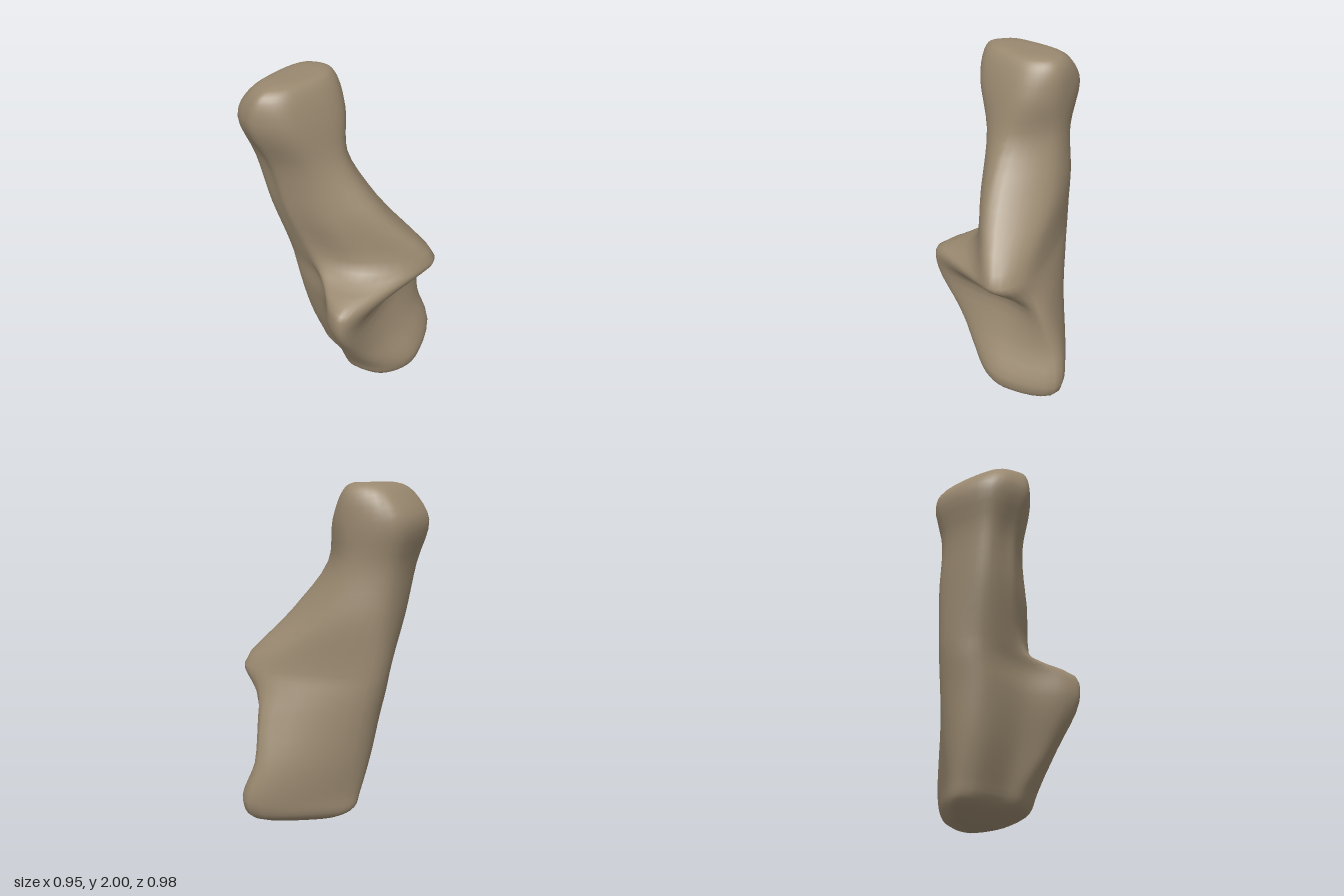
import * as THREE from 'three';
import { mergeVertices } from 'three/addons/utils/BufferGeometryUtils.js';

const AROUND = 42; // points around each cross-section
const STEPS = 4; // rows between neighbouring cross-sections

// Closed smooth cross-section at height y. Corners (x, z) run:
// back left, shelf side, shelf front, front ridge, right side, back right.
// dent pushes the flank behind the shelf inwards
function ring(y, dent, ...xz) {
  const pts = [];
  for (let i = 0; i < xz.length; i += 2) pts.push(new THREE.Vector3(xz[i], y, xz[i + 1]));
  const flank = pts[0].clone().lerp(pts[1], 0.6);
  flank.x += dent;
  pts.splice(1, 0, flank);
  const curve = new THREE.CatmullRomCurve3(pts, true, 'catmullrom', 0.5);
  return Array.from({ length: AROUND }, (_, i) => curve.getPoint(i / AROUND));
}

// Copy of a cross-section at height y, shrunk towards the point (cx, cz)
const shrink = (base, cx, cz, y, sx, sz) => base.map((p) =>
  new THREE.Vector3(cx + (p.x - cx) * sx, y, cz + (p.z - cz) * sz));

// Smooth skin: one curve per rail, running through every cross-section
function loft(rings) {
  const rows = (rings.length - 1) * STEPS;
  const pos = [];
  const index = [];
  const rails = rings[0].map((_, i) =>
    new THREE.CatmullRomCurve3(rings.map((r) => r[i]), false, 'centripetal'));
  for (let j = 0; j <= rows; j++) {
    for (const rail of rails) pos.push(...rail.getPoint(j / rows).toArray());
  }
  for (let j = 0; j < rows; j++) {
    for (let i = 0; i < AROUND; i++) {
      const a = j * AROUND + i;
      const b = j * AROUND + ((i + 1) % AROUND);
      const c = b + AROUND;
      if (j > 0) index.push(a, b, c);
      if (j < rows - 1) index.push(a, c, a + AROUND);
    }
  }
  const geo = new THREE.BufferGeometry();
  geo.setAttribute('position', new THREE.Float32BufferAttribute(pos, 3));
  geo.setIndex(index);
  const merged = mergeVertices(geo, 1e-5);
  merged.computeVertexNormals();
  return merged;
}

export function createModel() {
  const group = new THREE.Group();
  group.name = 'heelBone';
  const bone = new THREE.MeshStandardMaterial({ color: 0x9a8970 });
  bone.name = 'bone brown';

  const foot = ring(0.2, 0.01, -0.06, -0.18, -0.2, 0.16, -0.12, 0.36, 0.14, 0.44, 0.47, 0.26, 0.1, -0.18);
  const head = ring(1.79, -0.05, -0.33, -0.46, -0.46, -0.19, -0.34, -0.05, -0.05, 0, 0.1, -0.17, 0.02, -0.45);
  const footCap = (y, sx, sz) => shrink(foot, 0.2, 0.18, y, sx, sz);
  const headCap = (y, sx, sz) => shrink(head, -0.14, -0.18, y, sx, sz);

  const rings = [
    // rounded lower end
    footCap(0, 0, 0),
    footCap(0.02, 0.3, 0.4),
    footCap(0.05, 0.6, 0.75),
    footCap(0.1, 0.87, 0.94),
    foot,
    // hollow front face
    ring(0.42, 0.03, -0.12, -0.22, -0.32, 0.2, -0.26, 0.32, 0.08, 0.33, 0.42, 0.22, 0.1, -0.22),
    ring(0.68, 0.06, -0.16, -0.26, -0.44, 0.2, -0.41, 0.325, 0.06, 0.28, 0.34, 0.25, 0.1, -0.26),
    // side shelf and front ridge
    ring(0.83, 0.06, -0.17, -0.29, -0.43, 0.19, -0.4, 0.335, 0.1, 0.425, 0.28, 0.25, 0.09, -0.29),
    ring(0.94, -0.03, -0.18, -0.31, -0.27, 0.05, -0.17, 0.29, 0.13, 0.5, 0.25, 0.28, 0.08, -0.31),
    // shaft
    ring(1.25, -0.03, -0.24, -0.37, -0.32, -0.11, -0.25, 0.1, -0.03, 0.28, 0.16, -0.01, 0.05, -0.36),
    ring(1.55, -0.02, -0.29, -0.41, -0.37, -0.18, -0.28, 0, -0.09, 0.06, 0.09, -0.16, 0, -0.4),
    // swollen upper head
    head,
    headCap(1.93, 0.94, 0.7),
    headCap(1.985, 0.75, 0.45),
    headCap(1.995, 0, 0),
  ];

  const body = new THREE.Mesh(loft(rings), bone);
  body.name = 'boneBody';
  group.add(body);
  return group;
}
